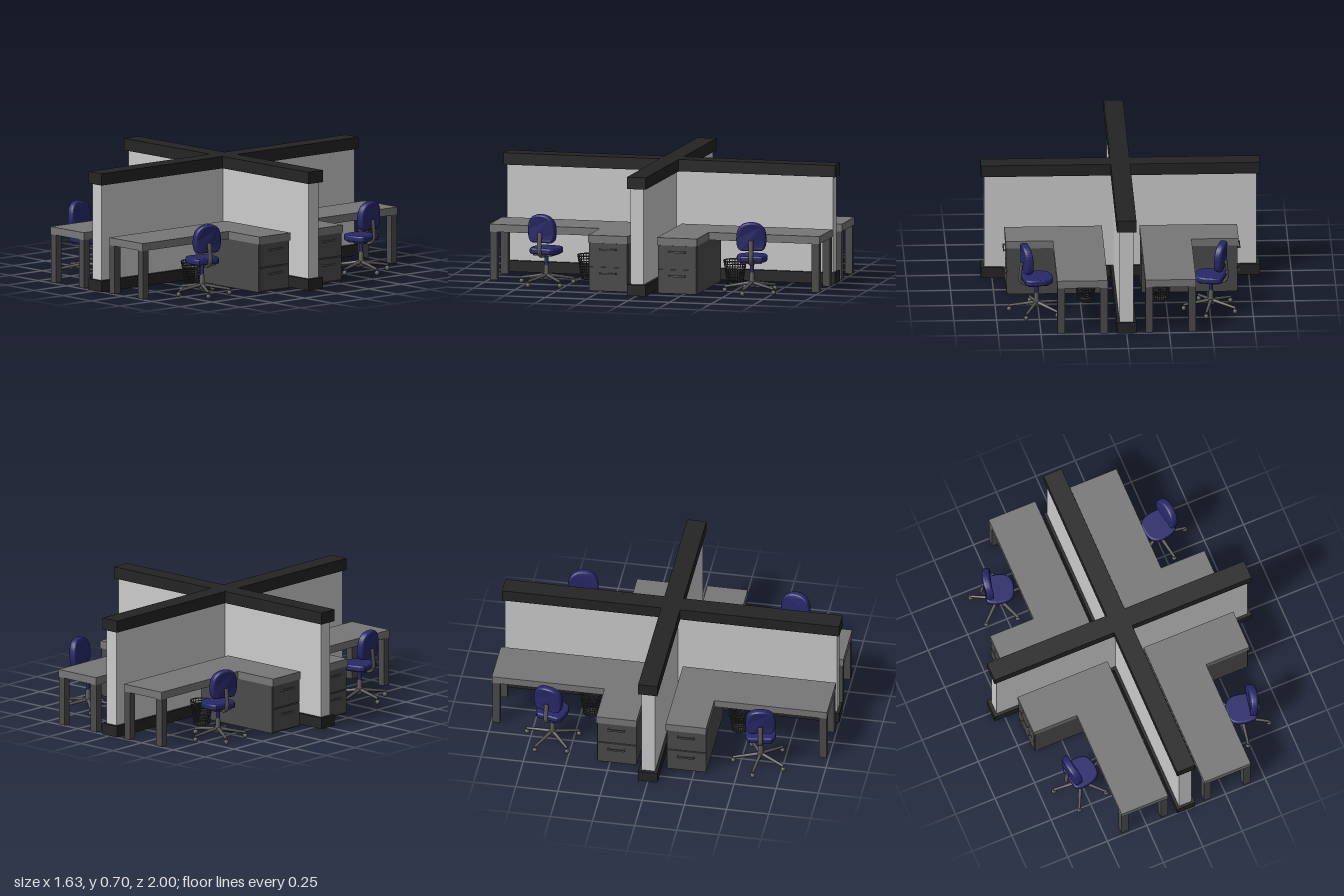
import * as THREE from 'three';
import { RoundedBoxGeometry } from 'three/addons/geometries/RoundedBoxGeometry.js';

const mat = (color, extra = {}) => new THREE.MeshStandardMaterial({ color, ...extra });
const M = {
  panel: mat(0xcccccc),
  rail: mat(0x242424),
  top: mat(0x777777),
  cabinet: mat(0x4a4a4a),
  metal: mat(0x585858),
  fabric: mat(0x28286a),
  basket: mat(0x3a3a3a, { side: THREE.DoubleSide }),
};

function add(parent, name, geometry, material, x = 0, y = 0, z = 0) {
  const mesh = new THREE.Mesh(geometry, material);
  mesh.name = name;
  mesh.position.set(x, y, z);
  parent.add(mesh);
  return mesh;
}

// Box given by its two extreme values on each axis, in any order
function box(parent, name, material, [x0, x1], [y0, y1], [z0, z1]) {
  const g = new THREE.BoxGeometry(Math.abs(x1 - x0), Math.abs(y1 - y0), Math.abs(z1 - z0));
  return add(parent, name, g, material, (x0 + x1) / 2, (y0 + y1) / 2, (z0 + z1) / 2);
}

// Round bar between two points
function bar(parent, name, material, a, b, r0, r1 = r0) {
  const from = new THREE.Vector3(...a), to = new THREE.Vector3(...b);
  const dir = to.clone().sub(from);
  const mesh = add(parent, name, new THREE.CylinderGeometry(r1, r0, dir.length(), 8), material);
  mesh.position.copy(from).add(to).multiplyScalar(0.5);
  mesh.quaternion.setFromUnitVectors(new THREE.Vector3(0, 1, 0), dir.normalize());
  return mesh;
}

// Cross of two walls with base and cap rails
function partition() {
  const g = new THREE.Group();
  g.name = 'partition';
  box(g, 'crossPanel', M.panel, [-0.795, 0.795], [0.06, 0.64], [-0.04, 0.04]);
  box(g, 'longPanel', M.panel, [-0.04, 0.04], [0.06, 0.64], [-0.985, 0.985]);
  const plan = new THREE.Shape();
  const a = 0.057, X = 0.815, Z = 1;
  [[X, -a], [X, a], [a, a], [a, Z], [-a, Z], [-a, a], [-X, a], [-X, -a], [-a, -a], [-a, -Z], [a, -Z], [a, -a]]
    .forEach(([x, z], i) => (i ? plan.lineTo(x, z) : plan.moveTo(x, z)));
  for (const [name, y] of [['baseRail', 0.066], ['capRail', 0.7]]) {
    const rail = new THREE.ExtrudeGeometry(plan, { depth: name === 'baseRail' ? 0.066 : 0.07, bevelEnabled: false });
    add(g, name, rail.rotateX(Math.PI / 2), M.rail, 0, y, 0);
  }
  return g;
}

// L-shaped desk with a drawer cabinet under the return; sx, sz pick the quadrant
function desk(sx, sz) {
  const g = new THREE.Group();
  g.name = 'desk';
  const X = (...v) => v.map((n) => n * sx), Z = (...v) => v.map((n) => n * sz);
  const plan = new THREE.Shape();
  [[0.11, 0.09], [0.68, 0.09], [0.68, 0.33], [0.405, 0.33], [0.405, 0.998], [0.11, 0.998]]
    .forEach(([x, z], i) => (i ? plan.lineTo(x * sx, z * sz) : plan.moveTo(x * sx, z * sz)));
  const top = new THREE.ExtrudeGeometry(plan, { depth: 0.045, bevelEnabled: false });
  add(g, 'deskTop', top.rotateX(Math.PI / 2), M.top, 0, 0.33, 0);
  for (const x of [0.11, 0.36])
    box(g, 'deskLeg', M.cabinet, X(x, x + 0.045), [0, 0.286], Z(0.95, 0.995));
  box(g, 'cabinet', M.cabinet, X(0.112, 0.668), [0, 0.286], Z(0.092, 0.328));
  // Two drawers with bracket handles
  for (const y of [0.006, 0.148]) {
    box(g, 'drawerFront', M.cabinet, X(0.668, 0.675), [y, y + 0.136], Z(0.096, 0.324));
    const hy = y + 0.1;
    box(g, 'handleBar', M.metal, X(0.687, 0.693), [hy - 0.005, hy + 0.005], Z(0.16, 0.26));
    for (const z of [0.16, 0.254])
      box(g, 'handleStub', M.metal, X(0.674, 0.688), [hy - 0.005, hy + 0.005], Z(z, z + 0.006));
  }
  return g;
}

// Swivel chair whose backrest is on local +x
function chair() {
  const g = new THREE.Group();
  g.name = 'chair';
  // Five-armed base with casters
  for (let i = 0; i < 5; i++) {
    const a = THREE.MathUtils.degToRad(16 + 72 * i);
    const c = Math.cos(a), s = Math.sin(a);
    bar(g, 'baseArm', M.metal, [c * 0.01, 0.06, s * 0.01], [c * 0.162, 0.036, s * 0.162], 0.011, 0.008);
    bar(g, 'casterStem', M.metal, [c * 0.16, 0.015, s * 0.16], [c * 0.16, 0.04, s * 0.16], 0.005);
    add(g, 'caster', new THREE.SphereGeometry(0.015, 12, 8), M.metal, c * 0.16, 0.015, s * 0.16);
  }
  // Gas column
  const column = [[0, 0.035], [0.02, 0.035], [0.02, 0.07], [0.015, 0.075], [0.015, 0.115], [0.009, 0.118], [0.009, 0.165], [0.02, 0.17], [0.02, 0.19], [0, 0.19]]
    .map(([r, y]) => new THREE.Vector2(r, y));
  add(g, 'column', new THREE.LatheGeometry(column, 16), M.metal);
  add(g, 'columnSleeve', new THREE.CylinderGeometry(0.012, 0.012, 0.05, 12), M.fabric, 0, 0.148, 0);
  // Seat: rounded in front, wide at the back
  const seat = new THREE.Shape();
  seat.moveTo(0.07, -0.06);
  seat.lineTo(0.07, 0.06);
  seat.bezierCurveTo(0.06, 0.08, 0.01, 0.083, -0.03, 0.079);
  seat.bezierCurveTo(-0.075, 0.07, -0.085, 0.045, -0.085, 0);
  seat.bezierCurveTo(-0.085, -0.045, -0.075, -0.07, -0.03, -0.079);
  seat.bezierCurveTo(0.01, -0.083, 0.06, -0.08, 0.07, -0.06);
  const cushion = new THREE.ExtrudeGeometry(seat, { depth: 0.014, bevelThickness: 0.011, bevelSize: 0.009, bevelSegments: 4, curveSegments: 10 });
  add(g, 'seatCushion', cushion.rotateX(Math.PI / 2), M.fabric, 0, 0.213, 0);
  add(g, 'seatPan', new RoundedBoxGeometry(0.12, 0.014, 0.12, 2, 0.006), M.metal, 0, 0.184, 0);
  // Backrest: rounded pad curved around the sitter
  const back = new THREE.Shape();
  back.moveTo(-0.055, -0.07);
  back.lineTo(0.055, -0.07);
  back.bezierCurveTo(0.075, -0.07, 0.08, -0.03, 0.076, 0.01);
  back.bezierCurveTo(0.072, 0.055, 0.045, 0.077, 0, 0.077);
  back.bezierCurveTo(-0.045, 0.077, -0.072, 0.055, -0.076, 0.01);
  back.bezierCurveTo(-0.08, -0.03, -0.075, -0.07, -0.055, -0.07);
  const pad = new THREE.ExtrudeGeometry(back, { depth: 0.014, bevelThickness: 0.015, bevelSize: 0.011, bevelSegments: 4, curveSegments: 10 });
  pad.rotateY(Math.PI / 2);
  const p = pad.attributes.position;
  for (let i = 0; i < p.count; i++) p.setX(i, p.getX(i) - 1.6 * p.getZ(i) ** 2);
  pad.computeVertexNormals();
  add(g, 'backrest', pad, M.fabric, 0.06, 0.338, 0).rotation.z = -0.04;
  // Bracket from under the seat up behind the backrest
  const path = new THREE.CatmullRomCurve3([[0.01, 0.178], [0.075, 0.18], [0.096, 0.205], [0.094, 0.26], [0.088, 0.32]]
    .map(([x, y]) => new THREE.Vector3(x, y, 0)));
  add(g, 'backBracket', new THREE.TubeGeometry(path, 20, 0.009, 8), M.metal).scale.z = 1.6;
  return g;
}

// Tapered wire basket
function wastebasket() {
  const g = new THREE.Group();
  g.name = 'wastebasket';
  const r0 = 0.044, r1 = 0.066, h = 0.142, n = 24, rows = 9;
  for (let i = 0; i < n; i++) {
    const a = (i / n) * Math.PI * 2, c = Math.cos(a), s = Math.sin(a);
    const wire = bar(g, 'uprightWire', M.basket, [c * r0, 0, s * r0], [c * r1, h, s * r1], 0.0023);
    wire.geometry = new THREE.CylinderGeometry(0.0023, 0.0023, wire.geometry.parameters.height, 4);
  }
  for (let i = 0; i <= rows; i++) {
    const t = i / rows;
    const ring = new THREE.TorusGeometry(r0 + (r1 - r0) * t, i === rows ? 0.004 : 0.0025, 5, 24);
    add(g, 'ringWire', ring.rotateX(Math.PI / 2), M.basket, 0, 0.003 + t * (h - 0.003), 0);
  }
  add(g, 'basketFloor', new THREE.CylinderGeometry(r0, r0, 0.004, 24), M.basket, 0, 0.002, 0);
  return g;
}

export function createModel() {
  const model = new THREE.Group();
  model.name = 'fourDeskWorkstation';
  model.add(partition());
  // sx, sz, desk shift x and z, chair x and z, chair back direction in degrees
  const stations = [
    [1, 1, 0.007, -0.005, 0.515, 0.62, 12],
    [-1, 1, 0, -0.008, -0.508, 0.615, 171],
    [1, -1, 0, 0, 0.512, -0.62, -10],
    [-1, -1, 0, 0, -0.507, -0.62, 194],
  ];
  for (const [sx, sz, dx, dz, cx, cz, deg] of stations) {
    const d = desk(sx, sz);
    d.position.set(dx, 0, dz);
    const c = chair();
    c.position.set(cx, 0, cz);
    c.rotation.y = -THREE.MathUtils.degToRad(deg);
    const w = wastebasket();
    w.position.set(sx * 0.218 + dx, 0, sz * 0.44);
    model.add(d, c, w);
  }
  return model;
}
